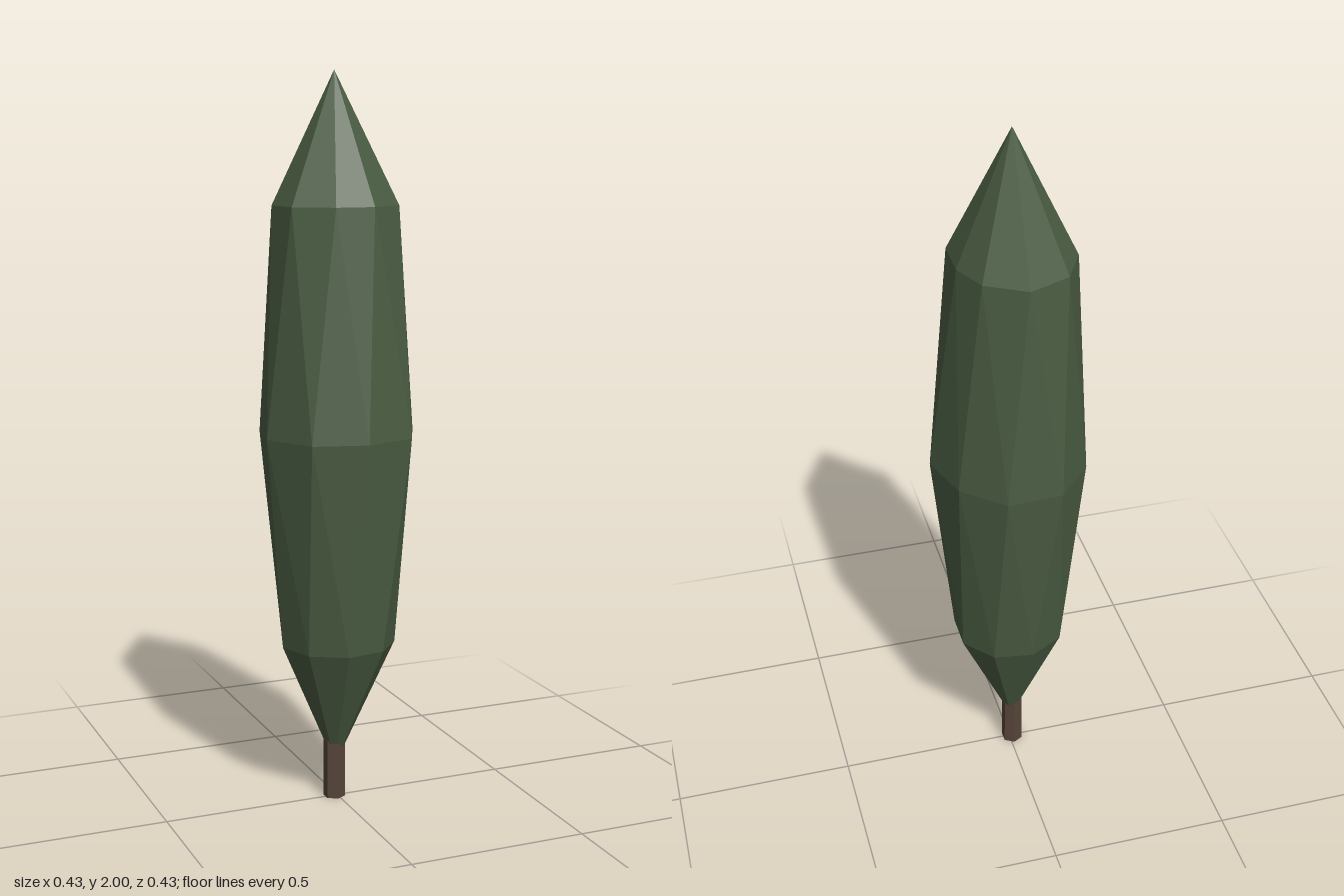
import * as THREE from 'three';

// Crown cross-sections as [x, z] corners, each ring turned against the next
const SIDES = 9;
const lowerRing = Array.from({ length: SIDES }, (_, i) => {
  const a = THREE.MathUtils.degToRad(20 + 40 * i);
  return [0.16 * Math.cos(a), 0.155 * Math.sin(a)];
});
const middleRing = [
  [0.215, 0.022], [0.147, 0.165], [0.003, 0.215], [-0.142, 0.175], [-0.217, 0.04],
  [-0.187, -0.1], [-0.09, -0.208], [0.062, -0.218], [0.17, -0.12],
];
const upperRing = [
  [0.143, 0.083], [0.045, 0.148], [-0.063, 0.147], [-0.157, 0.075], [-0.17, -0.04],
  [-0.115, -0.143], [-0.002, -0.19], [0.103, -0.128], [0.145, -0.033],
];

function crownGeometry() {
  const atHeight = (ring, y) => ring.map(([x, z]) => [x, y, z]);
  const low = atHeight(lowerRing, 0.45);
  const mid = atHeight(middleRing, 1.04);
  const up = atHeight(upperRing, 1.65);
  const base = [-0.005, 0.09, -0.003];
  const tip = [-0.005, 2, -0.008];
  const positions = [];
  const tri = (...corners) => corners.forEach((c) => positions.push(...c));

  for (let i = 0; i < SIDES; i++) {
    const j = (i + 1) % SIDES;
    tri(base, low[i], low[j]);
    tri(low[i], mid[i], mid[j]);
    tri(low[i], mid[j], low[j]);
    tri(mid[i], up[i], mid[j]);
    tri(mid[j], up[i], up[j]);
    tri(up[i], tip, up[j]);
  }
  const geometry = new THREE.BufferGeometry();
  geometry.setAttribute('position', new THREE.Float32BufferAttribute(positions, 3));
  geometry.computeVertexNormals();
  return geometry;
}

export function createModel() {
  const tree = new THREE.Group();
  tree.name = 'tree';

  // Tall faceted foliage
  const crown = new THREE.Mesh(
    crownGeometry(),
    new THREE.MeshStandardMaterial({ color: 0x4a5c42, flatShading: true }),
  );
  crown.name = 'crown';

  // Short six-sided trunk reaching into the crown
  const trunk = new THREE.Mesh(
    new THREE.CylinderGeometry(0.03, 0.031, 0.2, 6),
    new THREE.MeshStandardMaterial({ color: 0x57453a, flatShading: true }),
  );
  trunk.name = 'trunk';
  trunk.position.set(-0.008, 0.1, -0.002);

  tree.add(crown, trunk);
  return tree;
}
